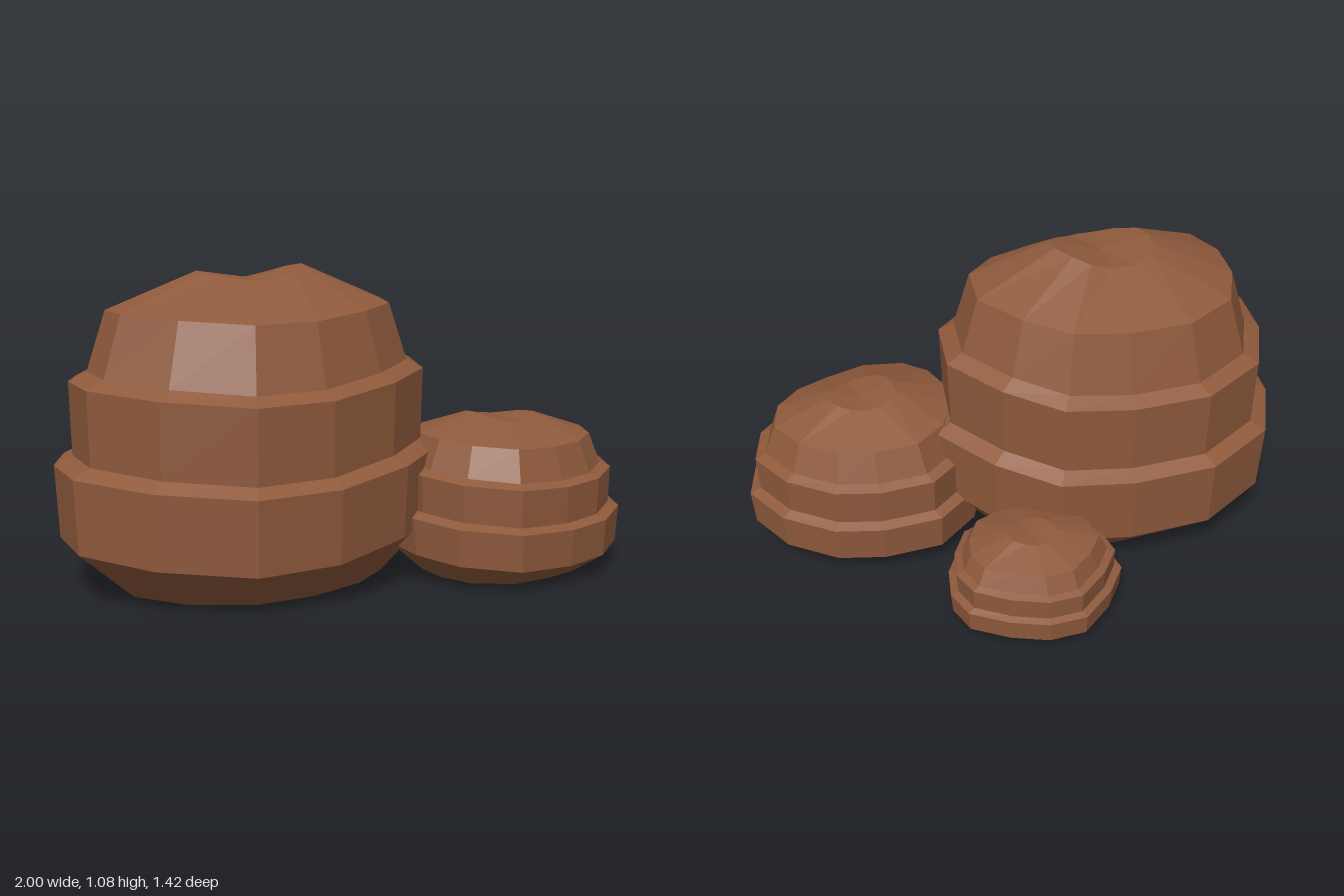
import * as THREE from 'three';

// Terraced profile shared by every boulder: [outline scale, height, tilt amount]
const PROFILE = [
  [0.70, 0, 0], [0.98, 0.165, 1], [1.0, 0.41, 1], [0.91, 0.44, 1],
  [0.92, 0.685, 1], [0.83, 0.715, 1], [0.735, 0.92, 0.7], [0.28, 1.045, 0.7],
];
const CREST = 1.03;

// Widest outlines seen from above (x, z), clockwise from the back
const BOULDERS = [
  { name: 'largeBoulder', center: [-0.315, 0.085], height: 1, lean: 1, outline: [
    [-0.5, -0.48], [-0.19, -0.45], [0.07, -0.39], [0.24, -0.21], [0.36, 0.04], [0.28, 0.33], [0.09, 0.5],
    [-0.19, 0.62], [-0.48, 0.65], [-0.78, 0.53], [-0.98, 0.32], [-1, 0.08], [-0.93, -0.16], [-0.78, -0.38]] },
  { name: 'mediumBoulder', center: [0.555, 0.295], height: 0.515, lean: -1, outline: [
    [0.41, -0.12], [0.62, -0.09], [0.78, -0.03], [0.93, 0.11], [1, 0.3], [0.93, 0.49], [0.79, 0.62],
    [0.62, 0.68], [0.41, 0.71], [0.22, 0.62], [0.13, 0.47], [0.11, 0.3], [0.14, 0.12], [0.24, -0.03]] },
  { name: 'smallBoulder', center: [0.21, -0.44], height: 0.29, lean: 1, outline: [
    [0.13, -0.715], [0.26, -0.7], [0.38, -0.64], [0.49, -0.55], [0.51, -0.44], [0.47, -0.32], [0.38, -0.2],
    [0.27, -0.17], [0.13, -0.16], [0, -0.21], [-0.07, -0.32], [-0.09, -0.45], [-0.09, -0.55], [0, -0.64]] },
];

// Stack scaled copies of the outline, with gently wavy heights, and cap both ends
function boulderGeometry({ center: [cx, cz], height, lean, outline }) {
  const n = outline.length;
  const positions = [];
  const index = [];
  for (const [scale, y, tilt] of PROFILE) {
    for (const [x, z] of outline) {
      const a = Math.atan2(z - cz, x - cx);
      const wave = 0.03 * Math.cos(2 * a) + 0.015 * lean * Math.cos(a);
      positions.push(cx + (x - cx) * scale, (y + wave * tilt) * height, cz + (z - cz) * scale);
    }
  }
  const last = (PROFILE.length - 1) * n;
  const bottom = last + n;
  const top = bottom + 1;
  positions.push(cx, 0, cz, cx, CREST * height, cz);

  for (let i = 0; i < n; i++) {
    const j = (i + 1) % n;
    for (let r = 0; r < last; r += n) {
      index.push(r + i, r + n + i, r + j, r + j, r + n + i, r + n + j);
    }
    index.push(i, j, bottom, last + i, top, last + j);
  }

  const indexed = new THREE.BufferGeometry();
  indexed.setAttribute('position', new THREE.Float32BufferAttribute(positions, 3));
  indexed.setIndex(index);
  const geometry = indexed.toNonIndexed();
  geometry.computeVertexNormals();
  return geometry;
}

export function createModel() {
  const group = new THREE.Group();
  group.name = 'terracedRocks';
  const stone = new THREE.MeshStandardMaterial({ color: 0x8f5a3c, flatShading: true });
  stone.name = 'brown stone';
  for (const boulder of BOULDERS) {
    const mesh = new THREE.Mesh(boulderGeometry(boulder), stone);
    mesh.name = boulder.name;
    group.add(mesh);
  }
  return group;
}
